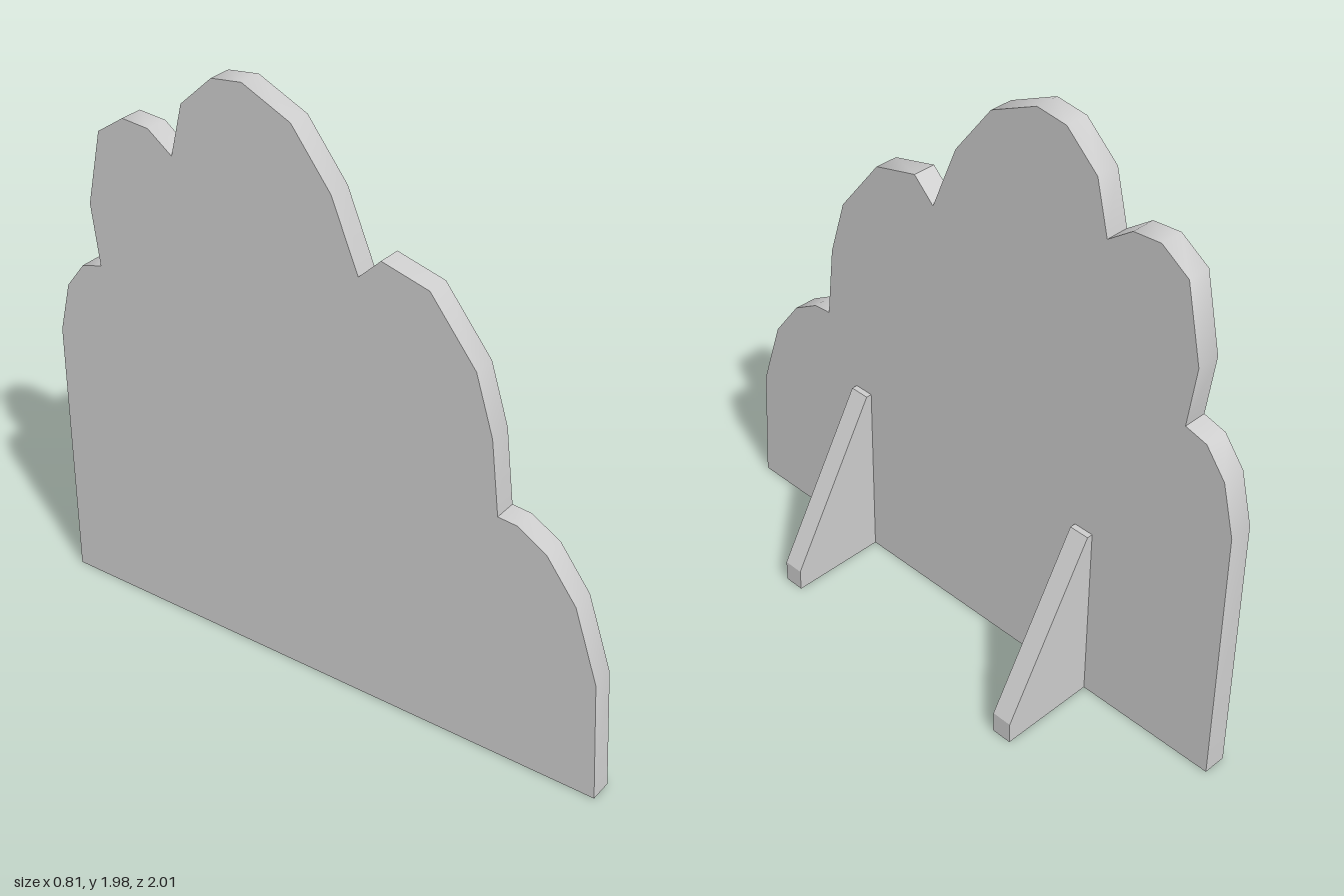
import * as THREE from 'three';
import { toCreasedNormals } from 'three/addons/utils/BufferGeometryUtils.js';

const THICK = 0.08;

// Extrudes a flat outline, centred on its depth
function slab(points, depth) {
  const shape = new THREE.Shape(points.map(([x, y]) => new THREE.Vector2(x, y)));
  const geometry = new THREE.ExtrudeGeometry(shape, { depth, bevelEnabled: false });
  return geometry.translate(0, 0, -depth / 2);
}

export function createModel() {
  const model = new THREE.Group();
  model.name = 'bushCutout';
  const grey = new THREE.MeshStandardMaterial({ color: 0xcccccc });
  grey.name = 'plain grey';

  // The whole stand is turned a little about the vertical
  const stand = new THREE.Group();
  stand.name = 'stand';
  stand.position.x = -0.1025;
  stand.rotation.y = THREE.MathUtils.degToRad(15);
  model.add(stand);

  // Lobed outline: distance along the board (scaled by cos 15), height
  const outline = [
    [0.987, 0], [0.964, 0.418], [0.884, 0.664], [0.782, 0.803], [0.685, 0.862], [0.621, 0.867],
    [0.594, 1.119], [0.535, 1.317], [0.38, 1.52], [0.22, 1.563], [0.145, 1.489],
    [0.054, 1.719], [-0.08, 1.9], [-0.246, 1.979], [-0.353, 1.965], [-0.466, 1.858], [-0.509, 1.681],
    [-0.594, 1.746], [-0.69, 1.754], [-0.787, 1.687], [-0.841, 1.43], [-0.814, 1.221],
    [-0.889, 1.2], [-0.958, 1.108], [-1, 0.932], [-0.997, 0],
  ].map(([z, y]) => [-(z + 0.0104) / 0.966, y]);
  const boardGeometry = toCreasedNormals(slab(outline, THICK).rotateY(Math.PI / 2), 0.8);
  const board = new THREE.Mesh(boardGeometry, grey);
  board.name = 'bushBoard';
  stand.add(board);

  // Two triangular props behind the board
  const propOutline = [[-0.02, 0], [0.339, 0], [0.339, 0.075], [0.02, 0.637], [-0.02, 0.637]];
  const propGeometry = slab(propOutline, 0.07);
  [['frontProp', 0.493], ['rearProp', -0.484]].forEach(([name, along]) => {
    const prop = new THREE.Mesh(propGeometry, grey);
    prop.name = name;
    prop.position.set(THICK / 2, 0, along);
    stand.add(prop);
  });

  return model;
}
